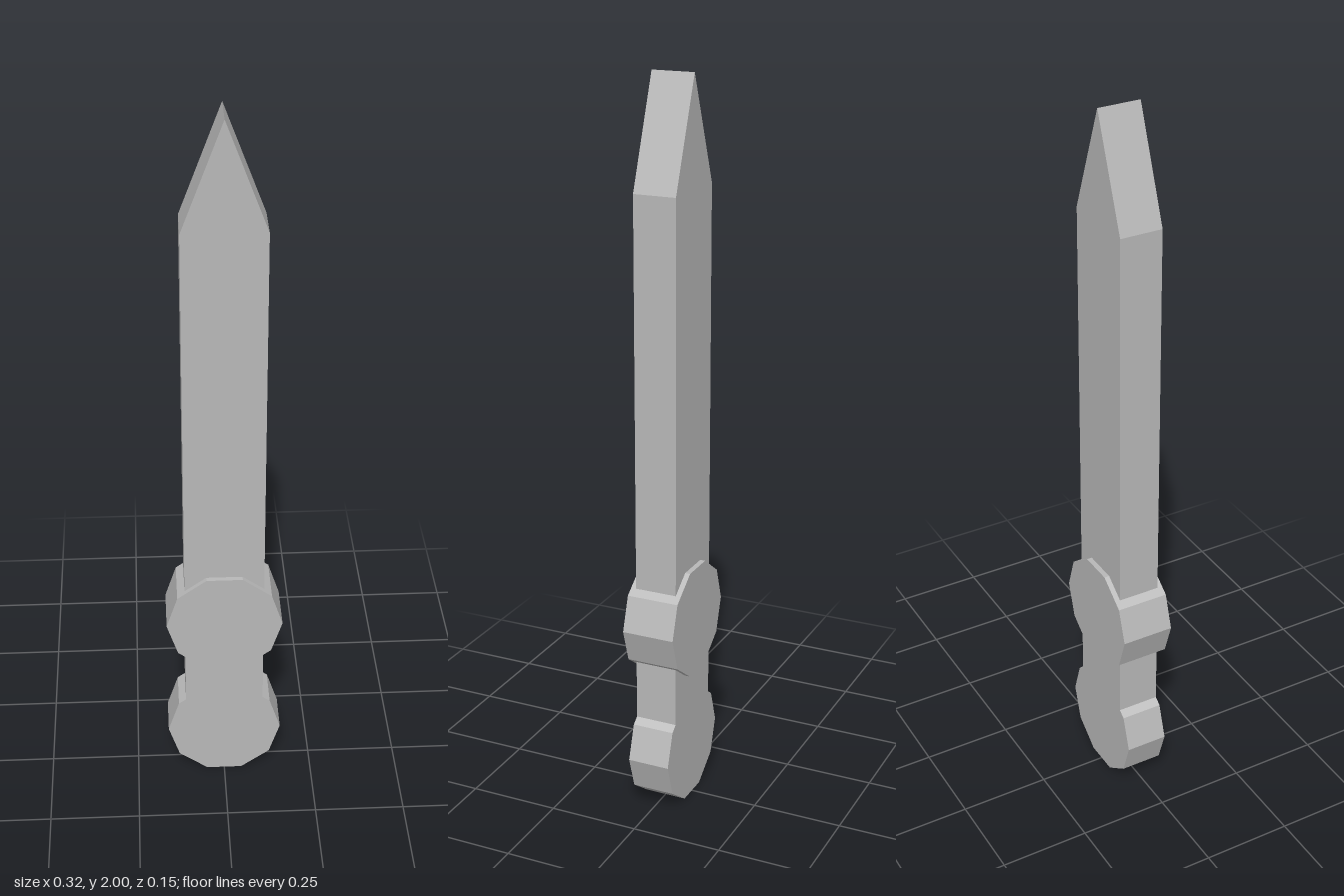
import * as THREE from 'three';

const RADIUS = 0.16;
const POMMEL_Y = RADIUS * Math.sin(Math.PI * 0.4); // decagon rests on its flat bottom edge
const GUARD_Y = 0.536;
const HALF_WIDTH = 0.109;

// Corner i of a ten-sided disc centred at height cy
const corner = (i, cy) => {
  const a = (i * Math.PI) / 5;
  return [RADIUS * Math.cos(a), cy + RADIUS * Math.sin(a)];
};

// Extrudes an outline into a plate centred on z = 0
function plate(name, points, depth, material) {
  const shape = new THREE.Shape(points.map(([x, y]) => new THREE.Vector2(x, y)));
  const geometry = new THREE.ExtrudeGeometry(shape, { depth, bevelEnabled: false });
  geometry.translate(0, 0, -depth / 2);
  const mesh = new THREE.Mesh(geometry, material);
  mesh.name = name;
  return mesh;
}

export function createModel() {
  const group = new THREE.Group();
  group.name = 'sword';
  const steel = new THREE.MeshStandardMaterial({ color: 0xb8b8b8, flatShading: true });
  steel.name = 'grey steel';

  // Straight blade with a pointed tip
  group.add(plate('blade', [
    [-HALF_WIDTH, GUARD_Y], [HALF_WIDTH, GUARD_Y],
    [HALF_WIDTH, 1.71], [0, 2], [-HALF_WIDTH, 1.71],
  ], 0.117, steel));

  // Grip flowing into a decagonal pommel, in one flat outline
  const [x1, y1] = corner(1, POMMEL_Y);
  const [x2, y2] = corner(2, POMMEL_Y);
  const joinY = y1 + ((y2 - y1) * (x1 - HALF_WIDTH)) / (x1 - x2);
  const outline = [[HALF_WIDTH, joinY], [HALF_WIDTH, GUARD_Y], [-HALF_WIDTH, GUARD_Y], [-HALF_WIDTH, joinY]];
  for (let i = 4; i <= 11; i++) outline.push(corner(i, POMMEL_Y));
  group.add(plate('gripAndPommel', outline, 0.117, steel));

  // Thicker decagonal guard around the joint
  const guard = [];
  for (let i = 0; i < 10; i++) guard.push(corner(i, GUARD_Y));
  group.add(plate('guard', guard, 0.146, steel));

  return group;
}
